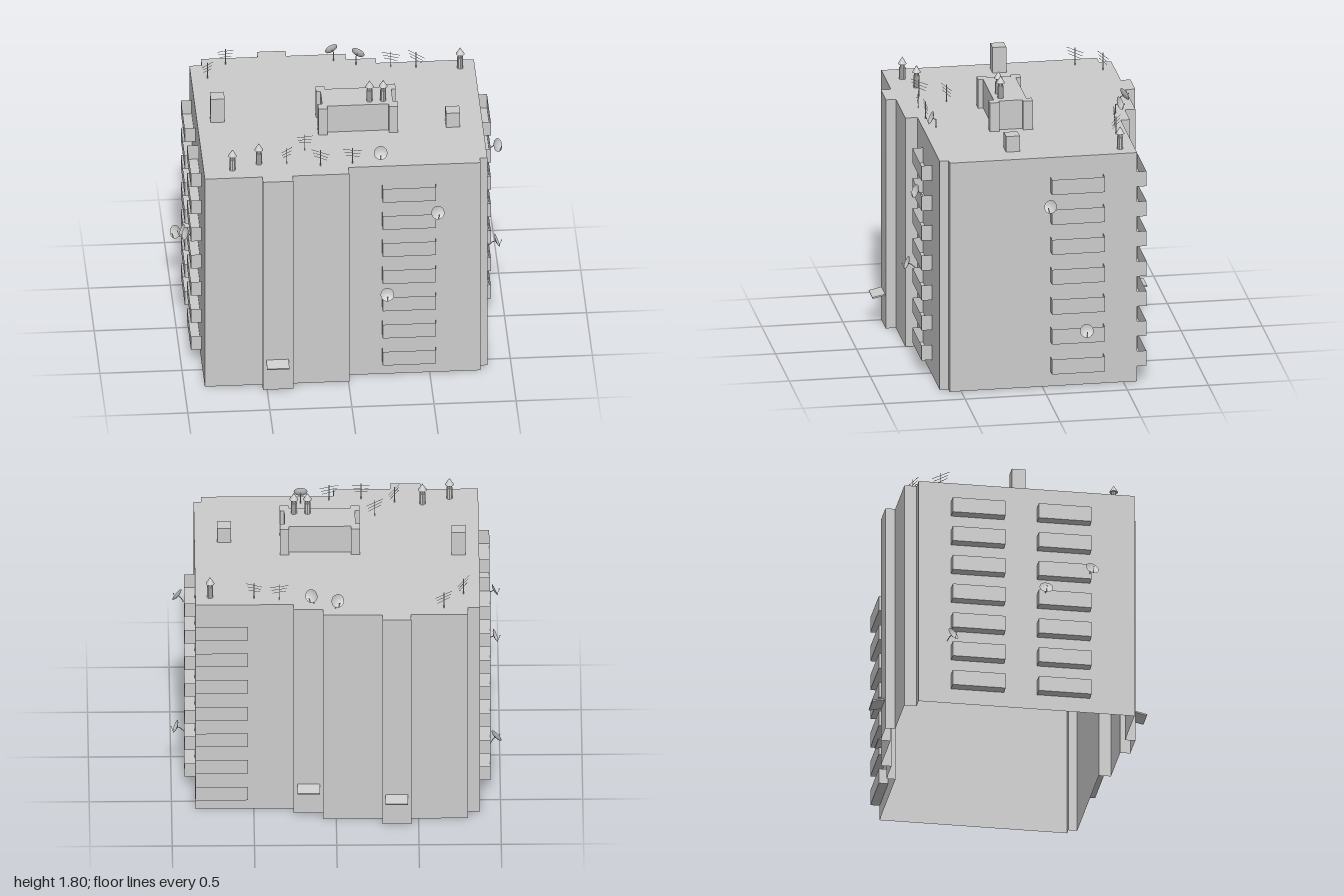
import * as THREE from 'three';

const grey = new THREE.MeshStandardMaterial({ color: 0xcccccc, side: THREE.DoubleSide, flatShading: true });
const smooth = new THREE.MeshStandardMaterial({ color: 0xcccccc, side: THREE.DoubleSide });
const ROOF = 1.475;

function add(parent, name, geometry, material = grey) {
  const mesh = new THREE.Mesh(geometry, material);
  mesh.name = name;
  parent.add(mesh);
  return mesh;
}

function group(parent, name) {
  const g = new THREE.Group();
  g.name = name;
  parent.add(g);
  return g;
}

// Upright walls along a plan path of [x, z] points, interior on the right seen from above
function walls(path, y0, y1, closed) {
  const pos = [];
  const count = closed ? path.length : path.length - 1;
  for (let i = 0; i < count; i++) {
    const [px, pz] = path[i], [qx, qz] = path[(i + 1) % path.length];
    pos.push(qx, y0, qz, px, y0, pz, px, y1, pz, qx, y0, qz, px, y1, pz, qx, y1, qz);
  }
  const geo = new THREE.BufferGeometry();
  geo.setAttribute('position', new THREE.Float32BufferAttribute(pos, 3));
  geo.computeVertexNormals();
  return geo;
}

const planShape = (path) => new THREE.Shape(path.map(([x, z]) => new THREE.Vector2(x, -z)));
const slab = (path, y) => new THREE.ShapeGeometry(planShape(path)).rotateX(-Math.PI / 2).translate(0, y, 0);
const block = (path, y, h) => new THREE.ExtrudeGeometry(planShape(path), { depth: h, bevelEnabled: false })
  .rotateX(-Math.PI / 2).translate(0, y, 0);

// Thin round bar between two points
function rod(parent, name, a, b, r) {
  const from = new THREE.Vector3(...a), to = new THREE.Vector3(...b);
  const mesh = add(parent, name, new THREE.CylinderGeometry(r, r, from.distanceTo(to), 5));
  mesh.position.copy(from).lerp(to, 0.5);
  mesh.quaternion.setFromUnitVectors(new THREE.Vector3(0, 1, 0), to.sub(from).normalize());
}

// Ventilation stack with a conical cap
function vent(parent, x, y, z) {
  const g = group(parent, 'ventStack');
  g.position.set(x, y, z);
  add(g, 'ventPipe', new THREE.CylinderGeometry(0.019, 0.019, 0.075, 10).translate(0, 0.0375, 0));
  add(g, 'ventNeck', new THREE.CylinderGeometry(0.015, 0.015, 0.04, 10).translate(0, 0.085, 0));
  add(g, 'ventCap', new THREE.ConeGeometry(0.027, 0.045, 12).translate(0, 0.12, 0));
}

// Roof aerial: a mast with slightly tilted bars in one vertical plane
function aerial(parent, ax, az, bx, bz) {
  const g = group(parent, 'aerial');
  const half = Math.hypot(bx - ax, bz - az) / 2;
  g.position.set((ax + bx) / 2, ROOF, (az + bz) / 2);
  g.rotation.y = -Math.atan2(bz - az, bx - ax);
  rod(g, 'mast', [0, 0, 0], [0, 0.11, 0], 0.0025);
  for (const [y, k] of [[0.055, 0.75], [0.075, 0.85], [0.095, 1]]) {
    rod(g, 'aerialBar', [-half * k, y + 0.01, 0], [half * k, y - 0.01, 0], 0.0015);
  }
}

// Satellite dish facing the plan direction (nx, nz), tilted upward
const dishProfile = [0, 0.25, 0.5, 0.75, 1].map((t) => new THREE.Vector2(t * 0.042, t * t * 0.012));
function dish(parent, x, y, z, nx, nz, onRoof) {
  const g = group(parent, 'satelliteDish');
  g.position.set(x, y, z);
  g.rotation.y = Math.atan2(nx, nz);
  const head = group(g, 'dishHead');
  head.rotation.x = -0.4;
  add(head, 'reflector', new THREE.LatheGeometry(dishProfile, 16).rotateX(Math.PI / 2), smooth);
  rod(head, 'feedArm', [0, -0.04, 0.01], [0, -0.012, 0.036], 0.0015);
  add(head, 'feed', new THREE.SphereGeometry(0.004, 6, 5).translate(0, -0.012, 0.036));
  rod(g, 'bracket', [0, 0, 0], [0, -0.008, -0.022], 0.003);
  if (onRoof) rod(g, 'pole', [0, -0.008, -0.02], [0, ROOF - y, -0.02], 0.003);
  else rod(g, 'wallArm', [0, -0.008, -0.02], [0, -0.03, -0.04], 0.003);
}

export function createModel() {
  const model = new THREE.Group();
  model.name = 'apartmentBlock';

  // Main block: stepped plan, open underneath
  const plan = [
    [-0.875, -0.63], [-0.8, -0.63], [-0.8, -0.705], [-0.455, -0.705], [-0.455, -0.765], [-0.28, -0.765],
    [-0.28, -0.705], [0.08, -0.705], [0.08, -0.64], [0.26, -0.64], [0.26, -0.585], [0.855, -0.585],
    [0.855, 0.57], [0.81, 0.57], [0.81, 0.625], [0.005, 0.625], [0.005, 0.7], [-0.34, 0.7],
    [-0.34, 0.762], [-0.525, 0.762], [-0.525, 0.7], [-0.875, 0.7],
  ];
  add(model, 'outerWalls', walls(plan, 0, ROOF, true));
  add(model, 'roof', slab(plan, ROOF));

  // Balconies: open-topped trays stacked on seven floors
  const balconies = {
    frontBalcony: [[0.535, 0.625], [0.535, 0.69], [0.21, 0.69], [0.21, 0.625]],
    leftBalcony: [[0.855, -0.375], [0.92, -0.375], [0.92, -0.05], [0.855, -0.05]],
    rightFrontBalcony: [[-0.875, 0.425], [-0.94, 0.425], [-0.94, 0.1], [-0.875, 0.1]],
    rightBackBalcony: [[-0.875, -0.105], [-0.94, -0.105], [-0.94, -0.43], [-0.875, -0.43]],
    backBalcony: [[0.535, -0.585], [0.535, -0.642], [0.855, -0.642], [0.855, -0.585]],
  };
  for (const [name, path] of Object.entries(balconies)) {
    const stack = group(model, name + 'Stack');
    for (let i = 0; i < 7; i++) {
      const y = 0.097 + i * 0.193;
      add(stack, name + 'Parapet', walls(path, y, y + 0.097, false));
      add(stack, name + 'Floor', slab(path, y));
    }
  }

  // Sloping canopies over the entrances
  for (const [x, z, side] of [[-0.437, 0.762, 1], [-0.367, -0.765, -1], [0.168, -0.64, -1]]) {
    const canopy = add(model, 'entranceCanopy', new THREE.BoxGeometry(0.136, 0.009, 0.08));
    canopy.position.set(x, 0.198, z + side * 0.038);
    canopy.rotation.x = side * 0.22;
  }

  // Machine room with corner piers
  const x0 = -0.15, x1 = 0.335, z0 = -0.03, z1 = 0.235, w = 0.055, h = 0.06, dx = 0.027, dz = 0.032;
  add(model, 'machineRoom', block([
    [x0, z0], [x0 + w, z0], [x0 + w, z0 + dz], [x1 - w, z0 + dz], [x1 - w, z0], [x1, z0],
    [x1, z0 + h], [x1 - dx, z0 + h], [x1 - dx, z1 - h], [x1, z1 - h], [x1, z1],
    [x1 - w, z1], [x1 - w, z1 - dz], [x0 + w, z1 - dz], [x0 + w, z1], [x0, z1],
    [x0, z1 - h], [x0 + dx, z1 - h], [x0 + dx, z0 + h], [x0, z0 + h],
  ], ROOF, 0.185));

  // Plain roof shafts
  add(model, 'tallShaft', new THREE.BoxGeometry(0.085, 0.165, 0.085)).position.set(-0.75, ROOF + 0.0825, 0);
  add(model, 'shortShaft', new THREE.BoxGeometry(0.085, 0.1, 0.085)).position.set(0.673, ROOF + 0.05, 0.157);

  for (const [x, y, z] of [[0.167, 1.66, 0.155], [0.25, 1.66, 0.155], [-0.7, ROOF, 0.6],
    [-0.535, ROOF, 0.54], [0.765, ROOF, -0.495]]) vent(model, x, y, z);

  for (const a of [
    [-0.81, -0.43, -0.74, -0.525], [-0.705, -0.605, -0.605, -0.655], [0.29, -0.535, 0.4, -0.525],
    [0.45, -0.55, 0.545, -0.48], [-0.4, 0.6, -0.33, 0.505], [-0.295, 0.43, -0.195, 0.38],
    [-0.215, 0.575, -0.11, 0.61], [-0.025, 0.585, 0.09, 0.575],
  ]) aerial(model, ...a);

  // Dishes on the balconies, then on the roof
  for (const d of [
    [0.54, 1.19, 0.72, 0.25, 0.97], [0.235, 0.62, 0.72, 0, 1],
    [0.953, 1.19, -0.04, 0.8, 0.6], [0.962, 0.38, -0.255, 1, 0],
    [-0.965, 0.92, 0.42, -0.97, 0.25], [-0.965, 0.77, 0.14, -1, 0], [-0.968, 0.415, -0.44, -0.75, 0.65],
  ]) dish(model, ...d, false);
  for (const d of [
    [0.205, 1.535, 0.565, 0, 1], [-0.005, 1.54, -0.645, -0.42, -0.9], [0.145, 1.54, -0.59, 0.5, -0.87],
  ]) dish(model, ...d, true);

  return model;
}
